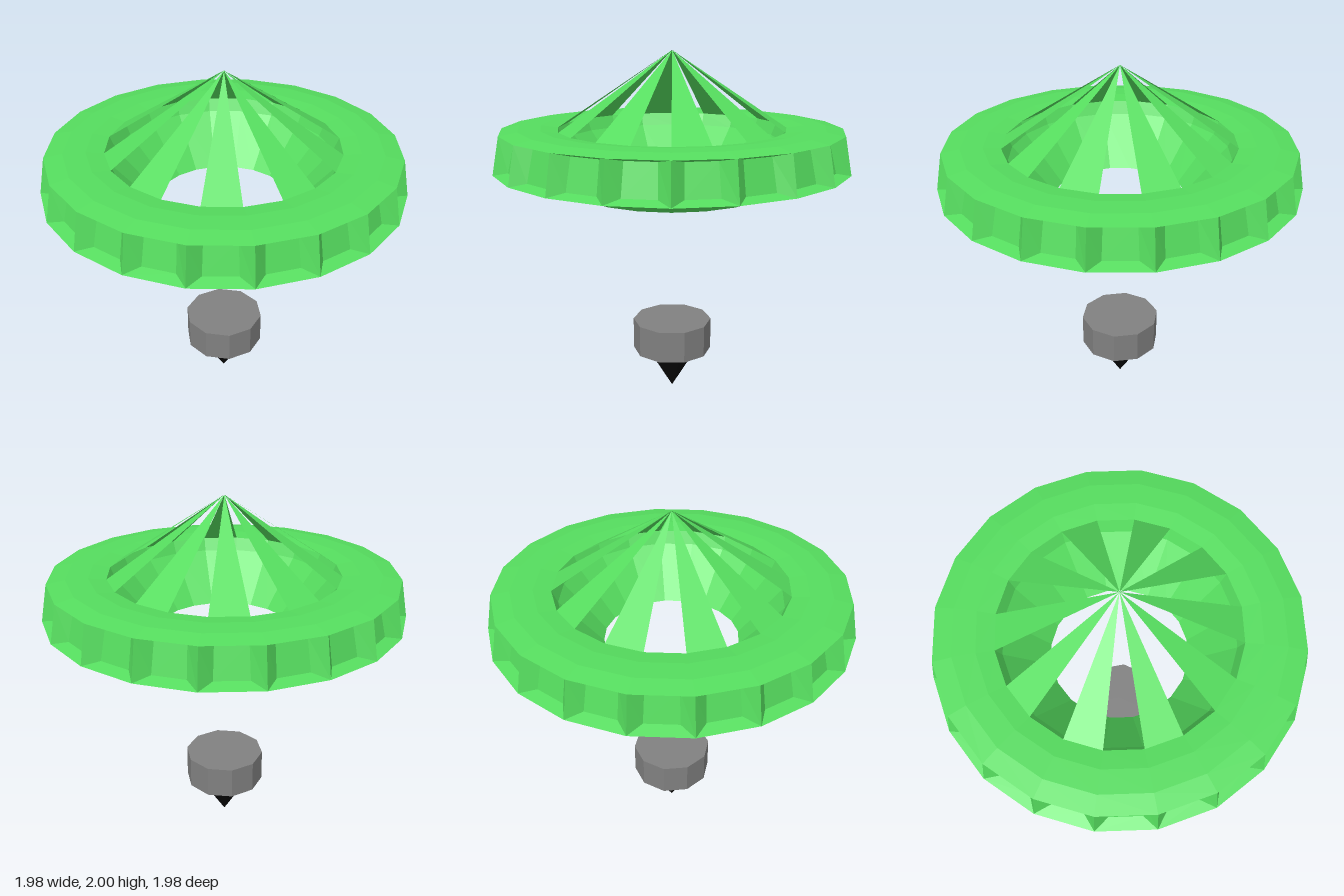
import * as THREE from 'three';

const SIDES = 20;
const STEP = (Math.PI * 2) / SIDES;

const material = (color, side = THREE.FrontSide) =>
  new THREE.MeshStandardMaterial({ color, flatShading: true, side });

// Point at a given angle round the axis, starting at the front
const polar = (radius, angle, y) =>
  new THREE.Vector3(Math.sin(angle) * radius, y, Math.cos(angle) * radius);

function facesGeometry(faces) {
  const positions = [];
  for (const face of faces) {
    for (let i = 1; i < face.length - 1; i++) {
      for (const p of [face[0], face[i], face[i + 1]]) positions.push(p.x, p.y, p.z);
    }
  }
  const geometry = new THREE.BufferGeometry();
  geometry.setAttribute('position', new THREE.Float32BufferAttribute(positions, 3));
  geometry.computeVertexNormals();
  return geometry;
}

// One recessed panel per side: a frame of four faces leading to a sunken back
function flutedRim() {
  const faces = [];
  const inset = (corner, angle, t, y) => {
    const centre = (angle + 0.5) * STEP;
    return corner.clone()
      .add(new THREE.Vector3(-Math.sin(centre) * 0.065, y, -Math.cos(centre) * 0.065))
      .add(polar(t, centre + Math.PI / 2, 0));
  };
  for (let i = 0; i < SIDES; i++) {
    const a = i * STEP, b = (i + 1) * STEP;
    const outer = [polar(0.99, a, 1.37), polar(0.99, b, 1.37), polar(0.95, b, 1.575), polar(0.95, a, 1.575)];
    const inner = [
      inset(outer[0], i, 0.07, 0.02), inset(outer[1], i, -0.07, 0.02),
      inset(outer[2], i, -0.07, -0.02), inset(outer[3], i, 0.07, -0.02),
    ];
    faces.push(inner);
    for (let k = 0; k < 4; k++) {
      const n = (k + 1) % 4;
      faces.push([outer[k], outer[n], inner[n], inner[k]]);
    }
  }
  return facesGeometry(faces);
}

// Every second face of a cone, leaving open gaps between
function spokes() {
  const faces = [];
  const apex = new THREE.Vector3(0, 2, 0);
  for (let i = 1; i < SIDES; i += 2) {
    faces.push([polar(0.635, i * STEP, 1.58), polar(0.635, (i + 1) * STEP, 1.58), apex]);
  }
  return facesGeometry(faces);
}

export function createModel() {
  const group = new THREE.Group();
  const green = 0x55dc5e;
  const add = (name, geometry, mat, y = 0) => {
    const mesh = new THREE.Mesh(geometry, mat);
    mesh.name = name;
    mesh.position.y = y;
    group.add(mesh);
  };

  // Ring: top, funnel-shaped opening and underside
  const profile = [
    [0.95, 1.575], [0.85, 1.592], [0.73, 1.592], [0.635, 1.58], [0.605, 1.51], [0.375, 1.25],
    [0.45, 1.24], [0.55, 1.235], [0.58, 1.255], [0.99, 1.37],
  ].map(([r, y]) => new THREE.Vector2(r, y));
  add('ring', new THREE.LatheGeometry(profile, SIDES), material(green));
  add('flutedRim', flutedRim(), material(green));
  add('spokes', spokes(), material(green, THREE.DoubleSide));

  // Separate weight and tip below
  add('weight', new THREE.CylinderGeometry(0.23, 0.23, 0.185, 10), material(0x808080), 0.345);
  add('tip', new THREE.CylinderGeometry(0.155, 0, 0.253, 10), material(0x0a0a0a), 0.1265);
  return group;
}
